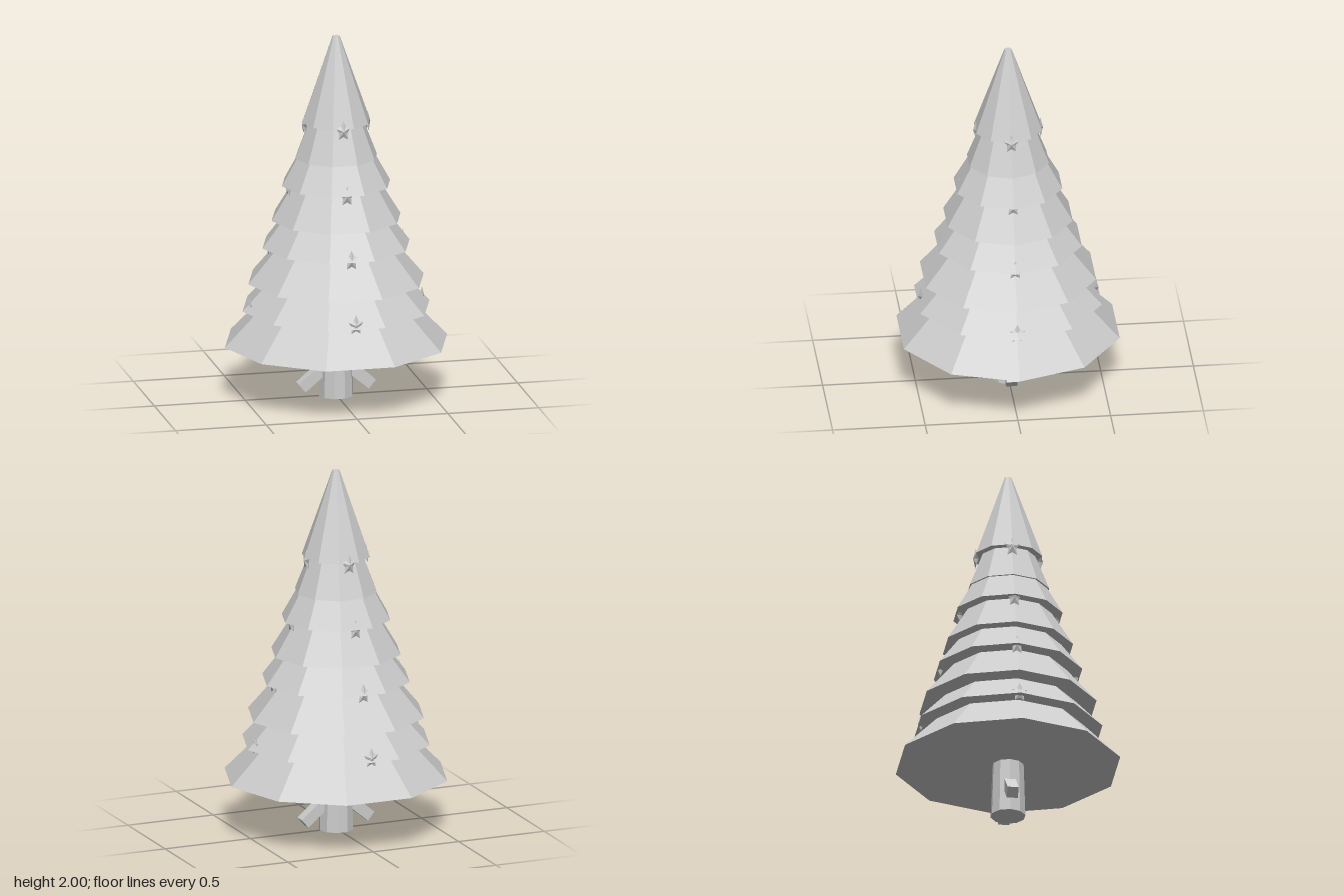
import * as THREE from 'three';

const matte = new THREE.MeshStandardMaterial({ color: 0xcccccc, flatShading: true });
matte.name = 'pale grey';

function add(parent, name, geometry) {
  const mesh = new THREE.Mesh(geometry, matte);
  mesh.name = name;
  parent.add(mesh);
  return mesh;
}

// Ten-sided frustum with a corner on the x axis
function frustum(rTop, rBottom, y0, height) {
  return new THREE.CylinderGeometry(rTop, rBottom, height, 10)
    .rotateY(Math.PI / 2)
    .translate(0, y0 + height / 2, 0);
}

// Faceted five-pointed star facing +z, with a raised centre front and back
function starGeometry(outer, inner, halfDepth) {
  const ring = [];
  for (let i = 0; i < 10; i++) {
    const a = Math.PI / 2 + (i * Math.PI) / 5;
    const r = i % 2 ? inner : outer;
    ring.push([0.75 * r * Math.cos(a), r * Math.sin(a), 0]);
  }
  const points = [];
  for (let i = 0; i < 10; i++) {
    const p = ring[i], q = ring[(i + 1) % 10];
    points.push(...p, ...q, 0, 0, halfDepth);
    points.push(...q, ...p, 0, 0, -halfDepth);
  }
  const g = new THREE.BufferGeometry();
  g.setAttribute('position', new THREE.Float32BufferAttribute(points, 3));
  g.computeVertexNormals();
  return g;
}

export function createModel() {
  const tree = new THREE.Group();
  tree.name = 'pineTree';

  // Trunk
  add(tree, 'trunk', frustum(0.085, 0.095, 0, 0.32));

  // Stubby roots, one on each side
  for (const side of [1, -1]) {
    const root = add(tree, side > 0 ? 'leftRoot' : 'rightRoot', new THREE.BoxGeometry(0.22, 0.06, 0.06));
    root.position.set(side * 0.109, 0.124, 0);
    root.rotation.z = -side * 0.698;
  }

  // Foliage tiers: base height, base radius, height
  const tiers = [
    [0.30, 0.612, 0.61], [0.495, 0.515, 0.52], [0.645, 0.483, 0.55], [0.84, 0.405, 0.51],
    [0.99, 0.355, 0.55], [1.18, 0.298, 0.50], [1.33, 0.225, 0.53], [1.525, 0.187, 0.475],
  ];
  const foliage = new THREE.Group();
  foliage.name = 'foliage';
  tree.add(foliage);
  tiers.forEach(([y, r, h], i) => add(foliage, `foliageTier${i + 1}`, frustum(0.02, r, y, h)));

  // Star ornaments tucked under every second tier, four around
  const star = starGeometry(0.058, 0.032, 0.015);
  const ornaments = new THREE.Group();
  ornaments.name = 'ornaments';
  tree.add(ornaments);
  for (const [y, r] of [[1.515, 0.174], [1.175, 0.262], [0.845, 0.367], [0.515, 0.473]]) {
    for (let i = 0; i < 4; i++) {
      const a = (i * Math.PI) / 2;
      const ornament = add(ornaments, 'starOrnament', star);
      ornament.position.set(r * Math.sin(a), y, r * Math.cos(a));
      ornament.rotation.y = a;
    }
  }
  return tree;
}
